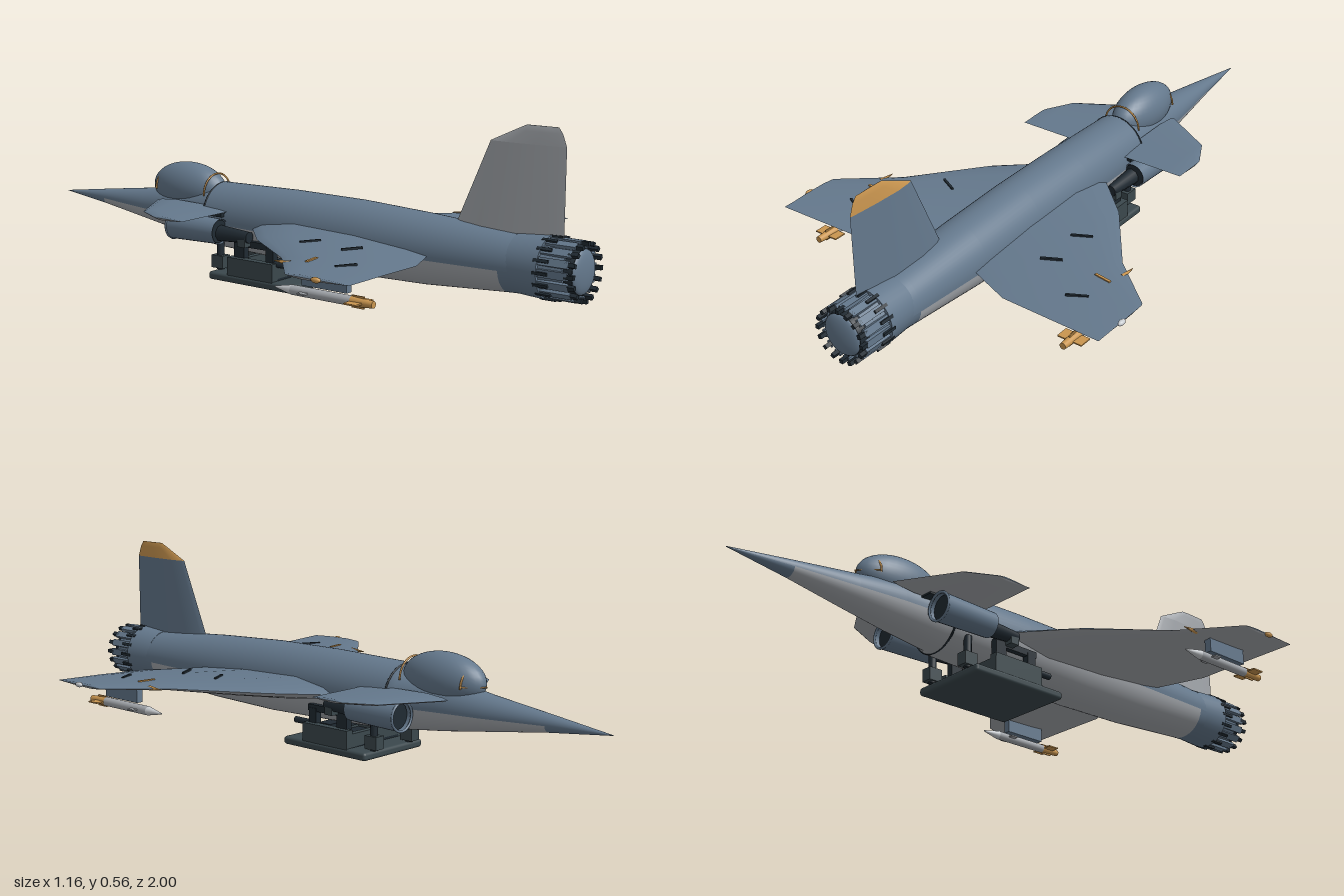
import * as THREE from 'three';
import { RoundedBoxGeometry } from 'three/addons/geometries/RoundedBoxGeometry.js';

const mat = (name, color, side = THREE.FrontSide) => {
  const m = new THREE.MeshStandardMaterial({ color, side });
  m.name = name;
  return m;
};

// Surface grid: fn(i, j) returns a point
function grid(rows, cols, fn) {
  const pos = [], idx = [];
  for (let i = 0; i < rows; i++) for (let j = 0; j < cols; j++) pos.push(...fn(i, j));
  for (let i = 0; i < rows - 1; i++) for (let j = 0; j < cols - 1; j++) {
    const a = i * cols + j, b = a + cols;
    idx.push(a, a + 1, b, b, a + 1, b + 1);
  }
  const g = new THREE.BufferGeometry();
  g.setAttribute('position', new THREE.Float32BufferAttribute(pos, 3));
  g.setIndex(idx);
  g.computeVertexNormals();
  return g;
}

// One skin of an aerofoil; stations are [span, leading z, trailing z, middle, half thickness]
const PROFILE = [[0, 0], [0.06, 0.5], [0.25, 1], [0.6, 0.8], [0.9, 0.3], [1, 0]];
const foil = (stations, face, place) => grid(stations.length, PROFILE.length, (i, j) => {
  const [s, z0, z1, mid, half] = stations[i], [f, t] = PROFILE[j];
  return place(s, mid + face * half * t, z0 + (z1 - z0) * f);
});

export function createModel() {
  const model = new THREE.Group();
  model.name = 'jet';
  const blue = mat('blueGrey', 0x64788c, THREE.DoubleSide);
  const grey = mat('bellyGrey', 0xa4a8ad, THREE.DoubleSide);
  const dark = mat('darkMetal', 0x202a32);
  const slate = mat('standSlate', 0x3b484d);
  const orange = mat('orange', 0xc9954f, THREE.DoubleSide);
  const pale = mat('pale', 0xc8ccd0);

  const add = (name, geo, material, x = 0, y = 0, z = 0, parent = model) => {
    const m = new THREE.Mesh(geo, material);
    m.name = name;
    m.position.set(x, y, z);
    parent.add(m);
    return m;
  };
  const box = (w, h, d) => new THREE.BoxGeometry(w, h, d);
  // Cylinder along z: r0 at the nose end, r1 at the tail end
  const rod = (r0, r1, len, n = 20, open = false) =>
    new THREE.CylinderGeometry(r1, r0, len, n, 1, open).rotateX(Math.PI / 2);

  // Fuselage sections: z, top, bottom, half width
  const body = [
    [-1, 0.181, 0.179, 0.001], [-0.8, 0.207, 0.156, 0.028], [-0.6, 0.232, 0.127, 0.055],
    [-0.45, 0.255, 0.105, 0.072], [-0.3, 0.268, 0.087, 0.083], [-0.285, 0.285, 0.08, 0.1],
    [0, 0.29, 0.07, 0.102], [0.25, 0.288, 0.064, 0.102], [0.5, 0.276, 0.07, 0.098],
    [0.77, 0.257, 0.088, 0.086], [0.82, 0.255, 0.09, 0.083]];
  const skin = (rows, from, to, n) => grid(rows.length, n + 1, (i, j) => {
    const [z, top, bottom, w] = rows[i];
    const a = (from + (to - from) * j / n) * Math.PI / 180;
    return [Math.cos(a) * w, (top + bottom) / 2 + Math.sin(a) * (top - bottom) / 2, z];
  });
  add('upperFuselage', skin(body, -7, 187, 28), blue);
  add('belly', skin(body.slice(1, 10), 187, 353, 24), grey);
  add('noseUnderside', skin(body.slice(0, 2), 187, 353, 24), blue);
  add('tailUnderside', skin(body.slice(9), 187, 353, 24), blue);

  // Canopy with orange frame hoops
  const canopy = add('canopy', new THREE.SphereGeometry(1, 32, 20), blue, 0, 0.255, -0.43);
  canopy.scale.set(0.067, 0.08, 0.145);
  const hoop = (name, z, r, tilt) => {
    const h = add(name, new THREE.TorusGeometry(r, 0.003, 6, 24, Math.PI), orange, 0, 0.245, z);
    h.rotation.x = tilt;
  };
  hoop('canopyFrontHoop', -0.53, 0.054, 0);
  hoop('canopyRearHoop', -0.315, 0.064, 0);
  for (const s of [-1, 1]) {
    const path = new THREE.LineCurve3(new THREE.Vector3(s * 0.052, 0.25, -0.53), new THREE.Vector3(0, 0.25, -0.583));
    add('windscreenRail', new THREE.TubeGeometry(path, 1, 0.002, 6), orange);
  }
  add('neckRing', new THREE.TorusGeometry(0.1, 0.003, 6, 40), dark, 0, 0.183, -0.287);

  // Engine nozzle with a ring of petals
  const nozzle = new THREE.Group();
  nozzle.name = 'nozzle';
  nozzle.position.y = 0.174;
  model.add(nozzle);
  add('nozzleShroud', rod(0.084, 0.09, 0.1, 32), blue, 0, 0, 0.84, nozzle);
  add('nozzleCore', rod(0.08, 0.074, 0.08, 32), blue, 0, 0, 0.92, nozzle);
  add('nozzleTip', rod(0.068, 0.064, 0.03, 32), dark, 0, 0, 0.97, nozzle);
  add('nozzleDome', new THREE.SphereGeometry(0.063, 28, 14).scale(1, 1, 0.25), blue, 0, 0, 0.984, nozzle);
  for (let i = 0; i < 16; i++) {
    const a = i / 16 * Math.PI * 2;
    const petal = new THREE.Group();
    petal.name = 'petal';
    petal.rotation.z = a;
    nozzle.add(petal);
    add('petalPlate', box(0.01, 0.022, 0.1), blue, 0.08, 0, 0.93, petal);
    add('petalHinge', box(0.012, 0.009, 0.045), dark, 0.085, 0, 0.9, petal);
    add('petalEnd', box(0.012, 0.012, 0.03), dark, 0.079, 0, 0.985, petal);
  }

  // Tail fin: painted on one side, plain on the other
  const upright = (s, t, z) => [t, s, z];
  const fin = [[0.24, 0.575, 0.925, 0, 0.014], [0.505, 0.69, 0.925, 0, 0.009]];
  const tip = [fin[1], [0.54, 0.765, 0.912, 0, 0.006], [0.556, 0.8, 0.9, 0, 0.003], [0.557, 0.8, 0.9, 0, 0]];
  add('finPaintedSide', foil(fin, 1, upright), blue);
  add('finPlainSide', foil(fin, -1, upright), grey);
  add('finPaintedTip', foil(tip, 1, upright), orange);
  add('finPlainTip', foil(tip, -1, upright), grey);

  const wing = [[0.07, -0.11, 0.535, 0.174, 0.036], [0.11, -0.075, 0.555, 0.174, 0.034],
    [0.24, 0.05, 0.61, 0.18, 0.025], [0.41, 0.28, 0.622, 0.187, 0.012],
    [0.57, 0.42, 0.63, 0.191, 0.006], [0.573, 0.43, 0.628, 0.191, 0]];
  const canard = [[0.075, -0.505, -0.19, 0.213, 0.011], [0.25, -0.4, -0.19, 0.213, 0.009],
    [0.297, -0.31, -0.19, 0.213, 0.006], [0.3, -0.3, -0.19, 0.213, 0]];

  for (const s of [-1, 1]) {
    const side = s > 0 ? 'left' : 'right';
    const flat = (x, y, z) => [s * x, y, z];
    add(side + 'WingTop', foil(wing, 1, flat), blue);
    add(side + 'WingUnderside', foil(wing, -1, flat), grey);
    add(side + 'CanardTop', foil(canard, 1, flat), blue);
    add(side + 'CanardUnderside', foil(canard, -1, flat), grey);
    add(side + 'CanardMount', box(0.05, 0.016, 0.2), dark, s * 0.088, 0.205, -0.3);

    // Slots and marks on the wing
    for (const [x, z, y] of [[0.25, 0.255, 0.205], [0.25, 0.402, 0.203], [0.41, 0.5, 0.197]])
      add(side + 'WingSlot', box(0.064, 0.006, 0.007), dark, s * x, y, z).rotation.y = s * 0.48;
    add(side + 'WingMark', box(0.055, 0.006, 0.008), orange, s * 0.42, 0.199, 0.392).rotation.y = s * -0.15;
    add(side + 'TipLight', new THREE.SphereGeometry(0.008, 10, 8), s > 0 ? pale : orange, s * 0.574, 0.191, 0.525)
      .scale.z = 2;

    // Intake pod with dark mouth and exposed linkage behind
    add(side + 'IntakePod', rod(0.044, 0.039, 0.19, 24, true), blue, s * 0.128, 0.156, -0.285);
    add(side + 'IntakeLip', new THREE.TorusGeometry(0.043, 0.004, 8, 24), blue, s * 0.128, 0.156, -0.38);
    add(side + 'IntakeMouth', rod(0.04, 0.036, 0.17, 20), dark, s * 0.128, 0.156, -0.28);
    add(side + 'Linkage', rod(0.026, 0.018, 0.12, 10), dark, s * 0.12, 0.15, -0.14);
    add(side + 'LinkageArm', box(0.018, 0.02, 0.16), dark, s * 0.1, 0.125, -0.07);
    add(side + 'LinkageBlock', box(0.035, 0.03, 0.03), slate, s * 0.12, 0.135, -0.1);

    // Missile on its pylon
    const missile = new THREE.Group();
    missile.name = side + 'Missile';
    missile.position.set(s * 0.45, 0.116, 0);
    model.add(missile);
    add('pylon', box(0.022, 0.05, 0.15), blue, 0, 0.045, 0.465, missile);
    add('missileBody', rod(0.014, 0.014, 0.2), grey, 0, 0, 0.45, missile);
    add('missileNose', rod(0.002, 0.014, 0.06), pale, 0, 0, 0.32, missile);
    add('missileTail', rod(0.014, 0.01, 0.07), orange, 0, 0, 0.585, missile);
    add('missileTailFins', box(0.08, 0.004, 0.04), orange, 0, 0, 0.57, missile);
    add('missileUprightFins', box(0.004, 0.034, 0.04), orange, 0, 0, 0.57, missile);
    add('missileFrontFins', box(0.06, 0.004, 0.025), grey, 0, 0, 0.4, missile);
    add('wingProbe', rod(0.001, 0.008, 0.055, 8), orange, 0, 0.072, 0.315, missile);

    // Stand side walls, struts and front posts
    add(side + 'StandWall', box(0.026, 0.06, 0.18), slate, s * 0.115, 0.05, -0.075);
    add(side + 'StandStrut', box(0.022, 0.06, 0.04), dark, s * 0.1, 0.1, -0.13);
    add(side + 'StandStrut', box(0.022, 0.05, 0.03), dark, s * 0.1, 0.1, -0.01);
    add(side + 'StandBar', rod(0.01, 0.01, 0.08, 10), dark, s * 0.1, 0.076, 0.03);
    add(side + 'FrontPost', new THREE.CylinderGeometry(0.012, 0.012, 0.1, 10), dark, s * 0.08, 0.075, -0.232);
    add(side + 'FrontPostBlock', box(0.035, 0.04, 0.045), slate, s * 0.08, 0.05, -0.232);
  }

  // Stand base tray
  add('standBase', new RoundedBoxGeometry(0.262, 0.025, 0.335, 2, 0.009), slate, 0, 0.0125, -0.0725);
  add('trayFloor', box(0.21, 0.008, 0.18), dark, 0, 0.028, -0.075);
  for (const z of [-0.155, 0.005]) add('trayEndWall', box(0.21, 0.045, 0.02), slate, 0, 0.045, z);
  add('trayCrossbar', box(0.14, 0.02, 0.05), dark, 0, 0.062, -0.02);
  return model;
}
